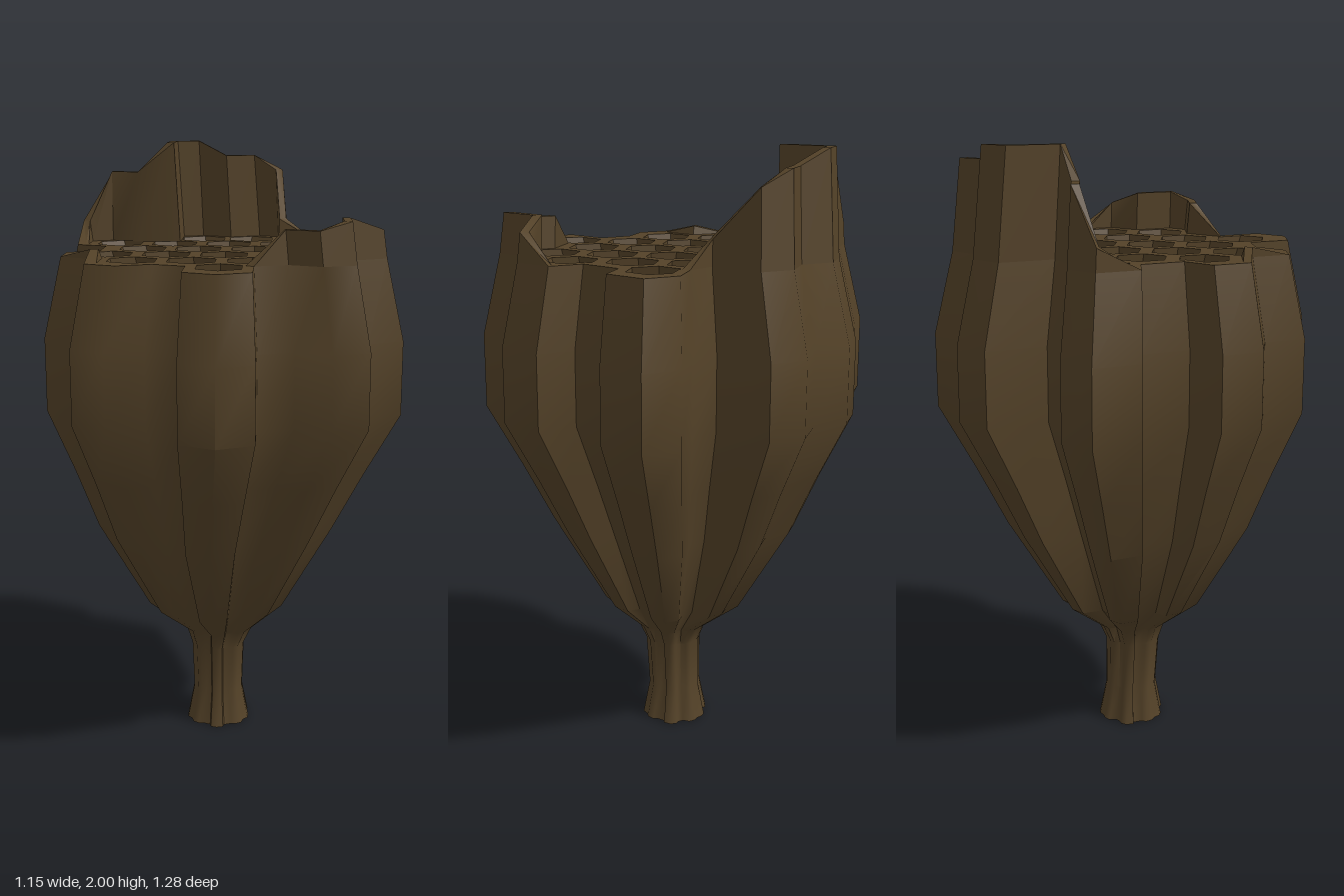
import * as THREE from 'three';
import { toCreasedNormals } from 'three/addons/utils/BufferGeometryUtils.js';

const TOP = 1.66; // height of the comb face

// Fluted plan outline, clockwise from above: x, z, rim height
const OUTLINE = [
  [-0.23, -0.59, 2], [-0.115, -0.64, 2], [0, -0.59, 1.95], [0.115, -0.64, 1.95],
  [0.23, -0.59, 1.9], [0.23, -0.39, 1.74], [0.34, -0.385, TOP], [0.455, -0.44, TOP],
  [0.575, -0.39, TOP], [0.575, -0.23, TOP], [0.46, -0.18, TOP], [0.46, -0.02, TOP],
  [0.575, 0.03, TOP], [0.575, 0.18, 1.75], [0.46, 0.24, 1.79], [0.46, 0.39, 1.79],
  [0.345, 0.435, 1.765], [0.23, 0.385, 1.765], [0.115, 0.43, TOP], [0.115, 0.59, TOP],
  [0, 0.645, TOP], [-0.115, 0.59, TOP], [-0.115, 0.43, TOP], [-0.23, 0.385, TOP],
  [-0.35, 0.435, TOP], [-0.46, 0.385, TOP], [-0.46, 0.24, 1.69], [-0.575, 0.17, TOP],
  [-0.575, 0.03, TOP], [-0.46, -0.02, TOP], [-0.46, -0.18, TOP], [-0.575, -0.23, TOP],
  [-0.575, -0.39, 1.73], [-0.46, -0.44, 1.9], [-0.345, -0.39, 1.9], [-0.23, -0.39, 2],
];

// Side profile: height, scale of outline, x shift, z shift, roundness
const PROFILE = [
  [0, 0.19, -0.025, -0.012, 0.5], [0.12, 0.15, -0.025, -0.012, 0.5],
  [0.29, 0.16, -0.025, -0.005, 0.5], [0.35, 0.2, -0.02, -0.005, 0.4],
  [0.45, 0.4, -0.03, -0.005, 0.15], [0.75, 0.68, -0.03, 0, 0],
  [0.95, 0.83, -0.015, 0, 0], [1.16, 1, 0, 0, 0], [1.4, 1, 0, 0, 0], [TOP, 0.9, 0, 0, 0],
];

// Joins successive rings of points with triangles, skipping empty ones
function skin(rings, out = []) {
  const tri = (a, b, c) => {
    if (a.distanceTo(b) > 1e-5 && b.distanceTo(c) > 1e-5 && c.distanceTo(a) > 1e-5) out.push(a, b, c);
  };
  for (let r = 0; r < rings.length - 1; r++) {
    const lo = rings[r], hi = rings[r + 1];
    lo.forEach((a, i) => {
      const j = (i + 1) % lo.length;
      tri(a, hi[i], lo[j]);
      tri(lo[j], hi[i], hi[j]);
    });
  }
  return out;
}

// Closes a ring with a fan around its middle
function fan(ring, up, out) {
  const c = ring.reduce((s, p) => s.add(p), new THREE.Vector3()).divideScalar(ring.length);
  ring.forEach((p, i) => {
    const q = ring[(i + 1) % ring.length];
    if (up) out.push(c, q, p);
    else out.push(c, p, q);
  });
}

function toGeometry(points, crease) {
  return toCreasedNormals(new THREE.BufferGeometry().setFromPoints(points), crease);
}

// Moves a clockwise ring inward in plan by t
function inset(ring, t) {
  const n = ring.length;
  const normal = (a, b) => new THREE.Vector2(a.z - b.z, b.x - a.x).normalize();
  return ring.map((p, i) => {
    const n1 = normal(ring[(i + n - 1) % n], p), n2 = normal(p, ring[(i + 1) % n]);
    const k = t / (1 + n1.dot(n2));
    return new THREE.Vector3(p.x + (n1.x + n2.x) * k, p.y, p.z + (n1.y + n2.y) * k);
  });
}

function hexRing(x, y, z, r) {
  return Array.from({ length: 6 }, (_, k) => {
    const a = Math.PI / 6 + k * Math.PI / 3;
    return new THREE.Vector3(x + r * Math.cos(a), y, z + r * Math.sin(a));
  });
}

export function createModel() {
  const group = new THREE.Group();
  const brown = new THREE.MeshStandardMaterial({ color: 0x544228 });
  const add = (name, geometry) => {
    const mesh = new THREE.Mesh(geometry, brown);
    mesh.name = name;
    group.add(mesh);
  };

  // Stem and fluted body
  const rings = PROFILE.map(([y, s, dx, dz, round]) => OUTLINE.map(([x, z]) => {
    const f = s * (1 - round + round * 0.56 / Math.hypot(x, z));
    return new THREE.Vector3(x * f + dx, y, z * f + dz);
  }));
  const face = rings[rings.length - 1];
  const body = skin(rings);
  fan(rings[0], false, body);
  add('flutedBody', toGeometry(body, 0.95));

  // Ragged raised rim with an inner side
  const rimTop = OUTLINE.map(([x, z, h]) => {
    const t = (h - TOP) / 0.34, s = 0.9 - 0.05 * t;
    return new THREE.Vector3(x * s - 0.02 * t, h, z * s);
  });
  const innerTop = inset(rimTop, 0.025);
  const innerFoot = inset(face, 0.035);
  add('raggedRim', toGeometry(skin([face, rimTop, innerTop, innerFoot]), 0.7));

  // Comb cell centres, row by row: z, then x positions
  const rows = [
    [-0.43, [-0.095, 0.075]],
    [-0.265, [-0.375, -0.187, 0, 0.187, 0.375]],
    [-0.098, [-0.28, -0.094, 0.093, 0.28]],
    [0.07, [-0.375, -0.187, 0, 0.187, 0.375]],
    [0.238, [-0.28, -0.094, 0.093, 0.28]],
    [0.407, [0]],
  ];
  const flat = (ring) => ring.map((p) => new THREE.Vector2(p.x, -p.z));
  const shape = new THREE.Shape(flat(face));
  const cells = [];
  for (const [z, xs] of rows) {
    for (const x of xs) {
      const mouth = hexRing(x, TOP, z, 0.086);
      const floor = hexRing(x * 0.88, TOP - 0.15, z * 0.88, 0.08);
      shape.holes.push(new THREE.Path(flat(mouth)));
      skin([mouth, floor], cells);
      fan(floor, true, cells);
    }
  }

  // Flat comb face and its sunken cells
  add('combFace', new THREE.ShapeGeometry(shape).rotateX(-Math.PI / 2).translate(0, TOP, 0));
  add('combCells', toGeometry(cells, 0.3));

  return group;
}
